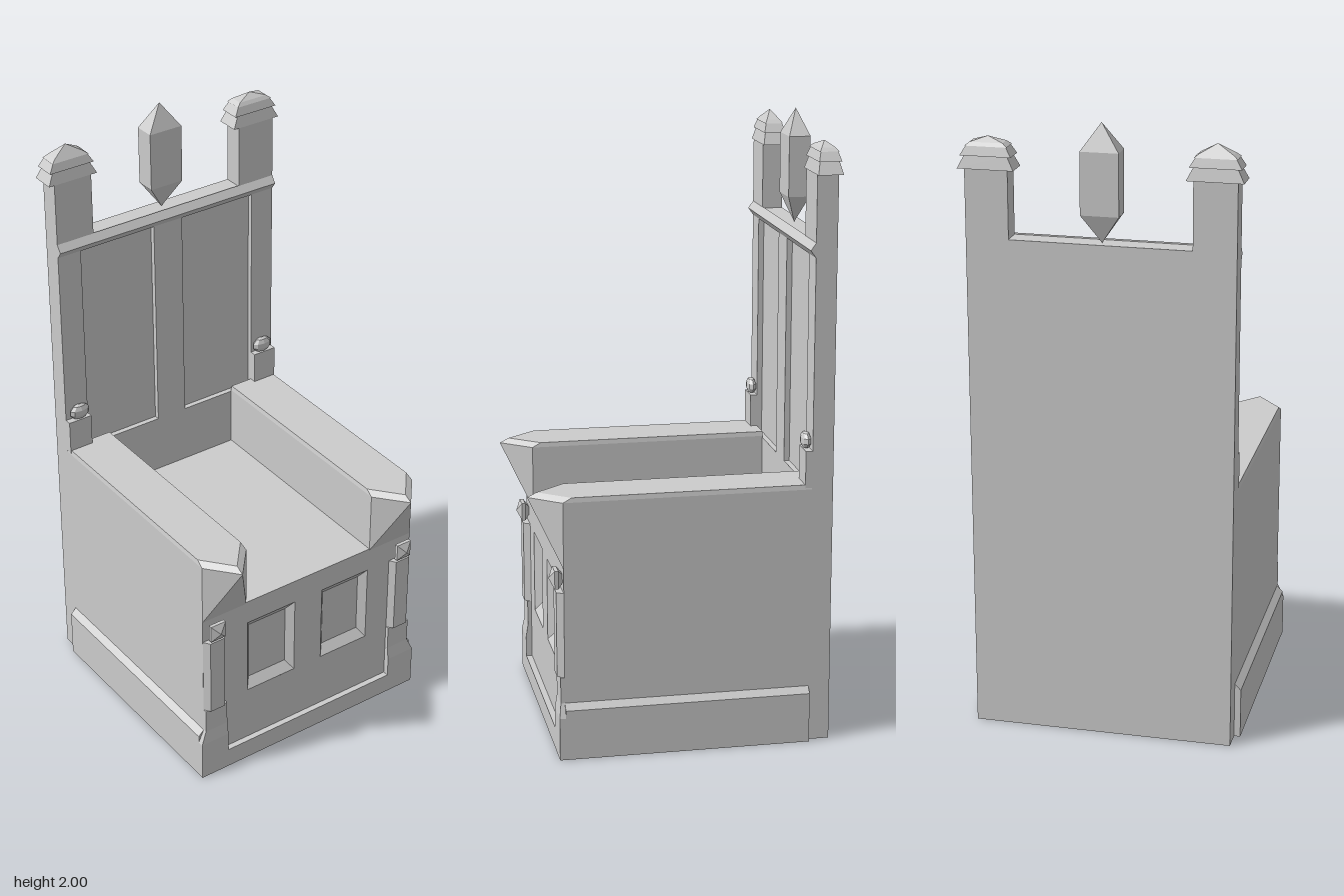
import * as THREE from 'three';
import { ConvexGeometry } from 'three/addons/geometries/ConvexGeometry.js';

const material = new THREE.MeshStandardMaterial({ color: 0xcccccc, flatShading: true });
const openMaterial = new THREE.MeshStandardMaterial({ color: 0xcccccc, flatShading: true, side: THREE.DoubleSide });

export function createModel() {
  const group = new THREE.Group();

  function add(name, geometry, mat = material) {
    const mesh = new THREE.Mesh(geometry, mat);
    mesh.name = name;
    group.add(mesh);
    return mesh;
  }

  // Box given by its lower and upper bounds
  function box(name, x0, x1, y0, y1, z0, z1) {
    const g = new THREE.BoxGeometry(x1 - x0, y1 - y0, z1 - z0);
    g.translate((x0 + x1) / 2, (y0 + y1) / 2, (z0 + z1) / 2);
    return add(name, g);
  }

  // Solid spanning a handful of corner points
  function hull(name, points) {
    return add(name, new ConvexGeometry(points.map((p) => new THREE.Vector3(...p))));
  }

  // Stack of rectangles [y, halfWidth, halfDepth] joined by flat sides
  function stack(name, rings, x, z) {
    const pos = [], index = [];
    for (const [y, w, d] of rings) {
      pos.push(x - w, y, z + d, x + w, y, z + d, x + w, y, z - d, x - w, y, z - d);
    }
    for (let r = 0; r < rings.length - 1; r++) {
      for (let i = 0; i < 4; i++) {
        const a = r * 4 + i, b = r * 4 + (i + 1) % 4;
        index.push(a, b, b + 4, a, b + 4, a + 4);
      }
    }
    const t = (rings.length - 1) * 4;
    index.push(0, 2, 1, 0, 3, 2, t, t + 1, t + 2, t, t + 2, t + 3);
    const g = new THREE.BufferGeometry();
    g.setAttribute('position', new THREE.Float32BufferAttribute(pos, 3));
    g.setIndex(index);
    g.computeVertexNormals();
    return add(name, g);
  }

  // Flat board with rectangular openings [x0, x1, y0, y1]
  function board(name, outline, openings, z0, z1) {
    const shape = new THREE.Shape(outline.map((p) => new THREE.Vector2(...p)));
    for (const [x0, x1, y0, y1] of openings) {
      shape.holes.push(new THREE.Path([
        new THREE.Vector2(x0, y0), new THREE.Vector2(x0, y1),
        new THREE.Vector2(x1, y1), new THREE.Vector2(x1, y0),
      ]));
    }
    const g = new THREE.ExtrudeGeometry(shape, { depth: z1 - z0, bevelEnabled: false });
    g.translate(0, 0, z0);
    return add(name, g);
  }

  // Tall back: solid board behind a frame with two sunken panels
  const backOutline = [
    [-0.42, 0], [0.42, 0], [0.42, 1.85], [0.285, 1.85],
    [0.285, 1.63], [-0.285, 1.63], [-0.285, 1.85], [-0.42, 1.85],
  ];
  board('backBoard', backOutline, [], -0.48, -0.43);
  board('backFrame', backOutline,
    [[-0.335, -0.055, 0.84, 1.59], [0.055, 0.335, 0.84, 1.59]], -0.43, -0.412);

  // Pointed moulding across the top of the back
  hull('backMoulding', [-0.42, 0.42].flatMap((x) => [
    [x, 1.585, -0.413], [x, 1.61, -0.395], [x, 1.635, -0.413],
  ]));

  // Central finial standing on its point
  stack('centreFinial', [
    [1.63, 0, 0], [1.72, 0.06, 0.035], [1.915, 0.06, 0.035], [2, 0, 0],
  ], 0, -0.449);

  // Seat block and its front panelling with two bevelled recesses
  box('seatBlock', -0.42, 0.42, 0, 0.635, -0.42, 0.36);
  const recesses = [[-0.245, -0.055, 0.27, 0.55], [0.055, 0.245, 0.27, 0.55]];
  board('frontPanel', [[-0.42, 0], [0.42, 0], [0.42, 0.635], [-0.42, 0.635]], recesses, 0.36, 0.385);
  for (const [x0, x1, y0, y1] of recesses) {
    const g = new THREE.CylinderGeometry(Math.SQRT1_2, Math.SQRT1_2 * 0.77, 1, 4, 1, true);
    g.rotateY(Math.PI / 4);
    g.rotateX(Math.PI / 2);
    g.scale(x1 - x0, y1 - y0, 0.024);
    g.translate((x0 + x1) / 2, (y0 + y1) / 2, 0.373);
    add('recessBevel', g, openMaterial);
  }
  box('frontSill', -0.335, 0.335, 0, 0.07, 0.37, 0.405);

  for (const s of [-1, 1]) {
    const side = s > 0 ? 'left' : 'right';
    const mid = s * 0.335;
    const span = (a, b) => (s > 0 ? [a, b] : [-b, -a]);

    // Armrest with bevelled top and overhanging pointed prow
    hull(side + 'Armrest', [
      ...[0.25, 0.42].flatMap((x) => [
        [s * x, 0.63, -0.413], [s * x, 0.63, 0.385],
        [s * x, 0.845, -0.413], [s * x, 0.845, 0.385],
      ]),
      [mid, 0.845, 0.485], [mid, 0.86, 0.455],
      ...[0.253, 0.417].flatMap((x) => [[s * x, 0.86, -0.413], [s * x, 0.86, 0.357]]),
    ]);

    // Side plinth with sloping top edge
    hull(side + 'Plinth', [-0.41, 0.385].flatMap((z) => [
      [s * 0.41, 0, z], [s * 0.44, 0, z], [s * 0.44, 0.165, z],
      [s * 0.42, 0.185, z], [s * 0.41, 0.185, z],
    ]));

    // Front corner: foot, shaft and bevelled pilaster
    box(side + 'Foot', ...span(0.335, 0.44), 0, 0.14, 0.37, 0.405);
    hull(side + 'FootSlope', [
      ...[0.335, 0.44].flatMap((x) => [[s * x, 0.14, 0.37], [s * x, 0.14, 0.405]]),
      ...[0.335, 0.42].flatMap((x) => [[s * x, 0.185, 0.37], [s * x, 0.185, 0.398]]),
    ]);
    box(side + 'Shaft', ...span(0.335, 0.42), 0.14, 0.27, 0.37, 0.398);
    hull(side + 'Pilaster', [0.27, 0.55].flatMap((y) => [
      [s * 0.335, y, 0.384], [s * 0.42, y, 0.384], [s * 0.35, y, 0.407], [s * 0.405, y, 0.407],
    ]));

    // Faceted square stud above the pilaster
    const stud = stack(side + 'Stud', [
      [-0.02, 0.014, 0.014], [-0.006, 0.028, 0.03], [0.006, 0.028, 0.03], [0.022, 0, 0],
    ], 0, 0);
    stud.rotation.x = Math.PI / 2;
    stud.position.set(s * 0.377, 0.59, 0.405);

    // Small post with a knob at the rear of the armrest
    box(side + 'KnobPost', ...span(0.335, 0.42), 0.85, 0.97, -0.42, -0.39);
    const knob = add(side + 'Knob', new THREE.SphereGeometry(1, 8, 5));
    knob.scale.set(0.038, 0.028, 0.017);
    knob.position.set(s * 0.373, 0.997, -0.4);

    // Tiered cap on the back post
    stack(side + 'PostCap', [
      [1.845, 0.088, 0.04], [1.888, 0.066, 0.03], [1.885, 0.08, 0.036],
      [1.918, 0.06, 0.026], [1.914, 0.066, 0.03], [1.925, 0.052, 0.022],
      [s > 0 ? 1.942 : 1.955, 0, 0],
    ], s * 0.352, -0.45);
  }
  return group;
}
